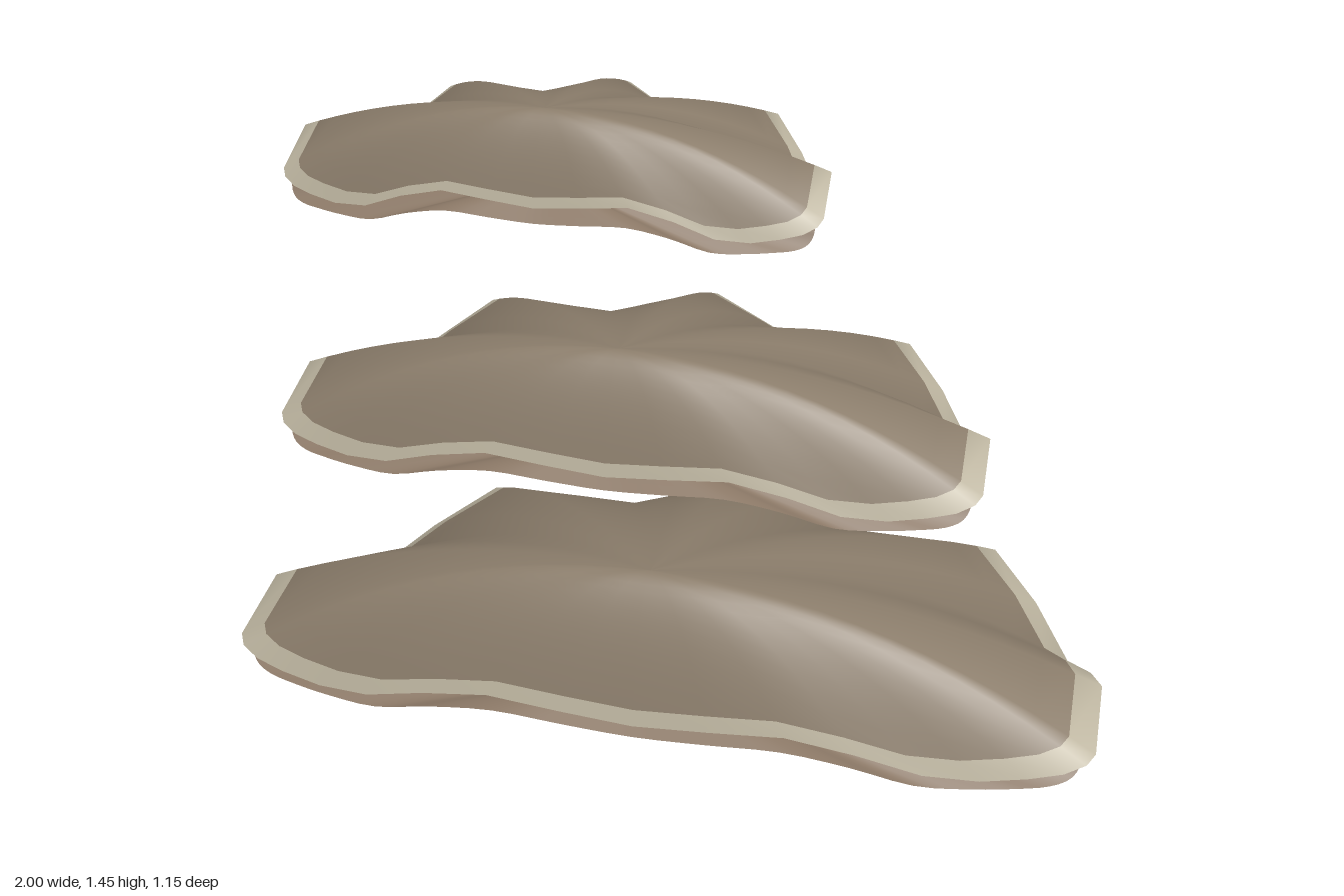
import * as THREE from 'three';

const capBrown = new THREE.MeshStandardMaterial({ color: 0x8b7d6b, side: THREE.DoubleSide });
capBrown.name = 'cap brown';
const rimCream = new THREE.MeshStandardMaterial({ color: 0xbdb5a0, side: THREE.DoubleSide });
rimCream.name = 'rim cream';
const poreBrown = new THREE.MeshStandardMaterial({ color: 0x8b7866, side: THREE.DoubleSide });
poreBrown.name = 'underside brown';

const HUB_Z = 0.42;
const FRONT_DEPTH = 0.15; // the front half is a shallow ellipse

// Edge heights every 10 degrees, from the middle of the front (-90) to the middle of the back (90)
const TOP_EDGE = [0.09, 0.1, 0.11, 0.085, 0.05, 0.045, 0.055, 0.065, 0.08, 0.095,
  0.165, 0.1, 0.035, 0.1, 0.165, 0.1, 0.045, 0.1, 0.165];
const UNDER_EDGE = [0.06, 0.065, 0.07, 0.05, 0.02, 0.02, 0.025, 0.03, 0.045, 0.08,
  0.14, 0.07, 0.003, 0.07, 0.14, 0.07, 0, 0.07, 0.14];

// Mirrored table lookup, k counts steps of 10 degrees around the full circle
const at = (table, k) => {
  const j = ((k % 36) + 36) % 36;
  return table[j > 18 ? 36 - j : j];
};

// Catmull-Rom between table entries for a soft wave
function softWave(table, k) {
  const i = Math.floor(k), f = k - i;
  const [a, b, c, d] = [-1, 0, 1, 2].map((o) => at(table, i + o));
  return b + 0.5 * f * (c - a + f * (2 * a - 5 * b + 4 * c - d + f * (3 * (b - c) + d - a)));
}

// Fan surface: rings of radius t around the hub, height given by a rule
function fan(name, material, radius, ts, segments, height, faceDown) {
  const positions = [], index = [];
  for (const t of ts) {
    for (let i = 0; i < segments; i++) {
      const k = (i * 36) / segments;
      const angle = ((k * 10 - 90) * Math.PI) / 180;
      const s = Math.sin(angle);
      positions.push(radius * t * Math.cos(angle), height(t, k),
        -radius * t * s * (s < 0 ? FRONT_DEPTH : 1));
    }
  }
  for (let r = 0; r < ts.length - 1; r++) {
    for (let i = 0; i < segments; i++) {
      const n = (i + 1) % segments;
      const a = r * segments + i, b = r * segments + n;
      const c = a + segments, d = b + segments;
      const tris = faceDown ? [a, d, c] : [a, c, d];
      index.push(...tris);
      if (ts[r] > 0) index.push(...(faceDown ? [a, b, d] : [a, d, b]));
    }
  }
  const geometry = new THREE.BufferGeometry();
  geometry.setAttribute('position', new THREE.Float32BufferAttribute(positions, 3));
  geometry.setIndex(index);
  geometry.computeVertexNormals();
  const mesh = new THREE.Mesh(geometry, material);
  mesh.name = name;
  return mesh;
}

const steps = (from, to, n) => Array.from({ length: n + 1 }, (_, i) => from + ((to - from) * i) / n);

// One bracket: domed top, pale rim and a wavy underside shell
function bracket(name, { x, y, radius, height, topWave, underWave }) {
  const group = new THREE.Group();
  group.name = name;
  group.position.set(x, y, HUB_Z);

  const topHeight = (t, k) => height - (height - at(TOP_EDGE, k) * topWave) * t * t;
  const hub = 0.15 * underWave;
  const underHeight = (t, k) => hub + (softWave(UNDER_EDGE, k) * underWave - hub) * (t / 0.97);

  group.add(
    fan('capTop', capBrown, radius, steps(0, 0.94, 12), 36, topHeight, false),
    fan('capRim', rimCream, radius, [0.94, 1], 36, topHeight, false),
    fan('capUnderside', poreBrown, radius, steps(0, 0.97, 6), 108, underHeight, true),
  );
  return group;
}

export function createModel() {
  const model = new THREE.Group();
  model.name = 'shelfFungus';
  model.add(
    bracket('lowerBracket', { x: 0, y: 0, radius: 1, height: 0.4, topWave: 1, underWave: 1 }),
    bracket('middleBracket', { x: -0.065, y: 0.585, radius: 0.795, height: 0.337, topWave: 0.98, underWave: 0.92 }),
    bracket('upperBracket', { x: -0.22, y: 1.17, radius: 0.597, height: 0.275, topWave: 0.94, underWave: 0.83 }),
  );
  return model;
}
